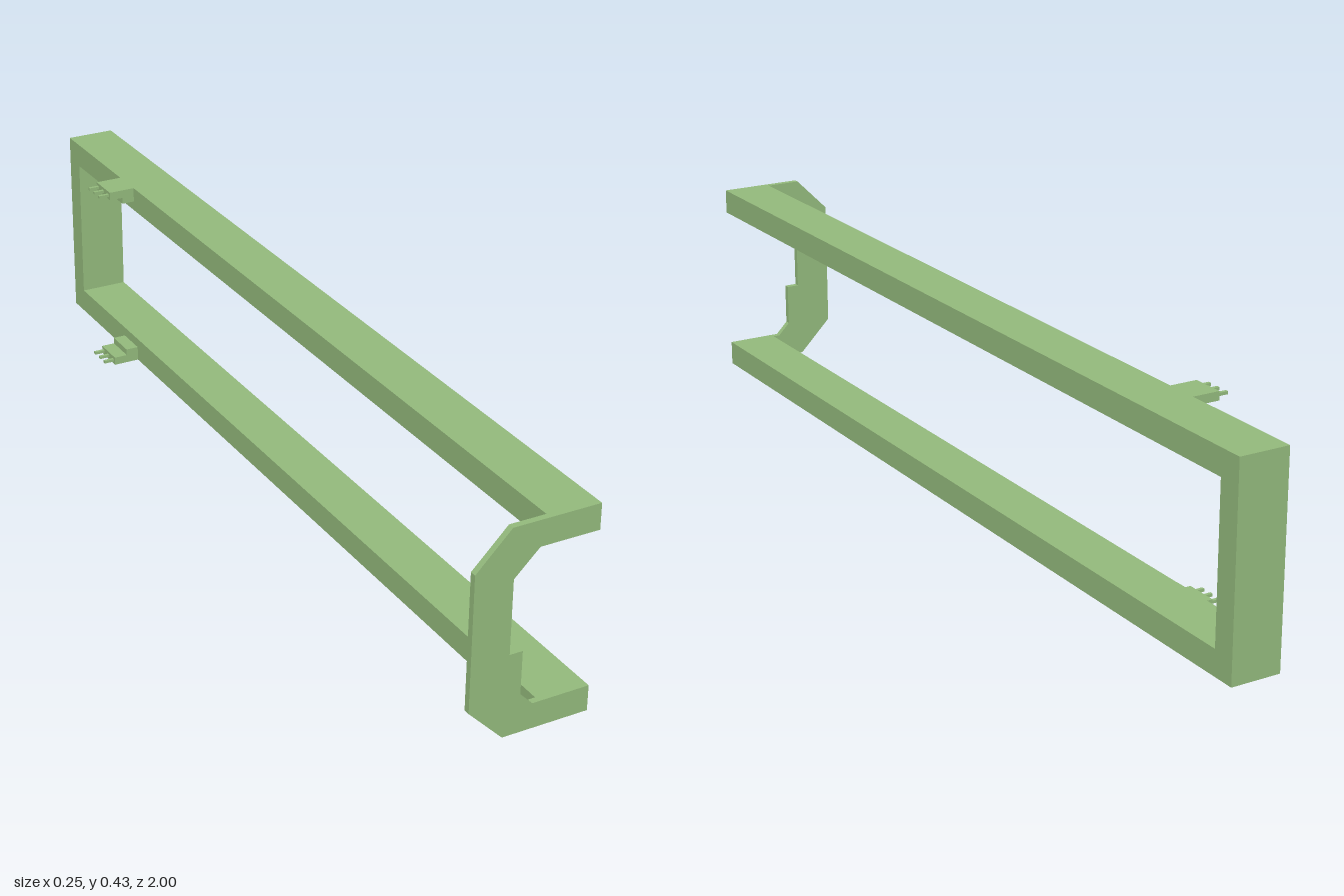
import * as THREE from 'three';

const HEIGHT = 0.425, BAR = 0.053, INNER = 0.02, OUTER = 0.125;

export function createModel() {
  const model = new THREE.Group();
  model.name = 'openFrame';
  const material = new THREE.MeshStandardMaterial({ color: 0x93b97c, flatShading: true });

  const add = (name, geometry, parent = model) => {
    const mesh = new THREE.Mesh(geometry, material);
    mesh.name = name;
    parent.add(mesh);
    return mesh;
  };
  const extrude = (points, depth) => new THREE.ExtrudeGeometry(
    new THREE.Shape(points.map(([x, y]) => new THREE.Vector2(x, y))),
    { depth, bevelEnabled: false });

  // Long U-shaped frame: two rails joined by a back post (drawn side-on, x = -z)
  const rails = extrude([
    [-1, 0], [1, 0], [1, HEIGHT], [-1, HEIGHT], [-1, HEIGHT - BAR],
    [0.95, HEIGHT - BAR], [0.95, BAR], [-1, BAR],
  ], OUTER - INNER);
  rails.rotateY(Math.PI / 2).translate(INNER, 0, 0);
  add('railFrame', rails);

  // Thin bracket joining the front ends of the rails
  const bracket = extrude([
    [INNER, 0], [INNER, BAR], [0.005, BAR], [-0.021, 0.08], [-0.021, 0.17],
    [-0.048, 0.17], [-0.048, 0.322], [0.003, HEIGHT - BAR], [INNER, HEIGHT - BAR],
    [INNER, HEIGHT], [-0.055, HEIGHT], [-0.127, 0.352], [-0.127, 0.073], [-0.055, 0],
  ], 0.013);
  bracket.translate(0, 0, 0.987);
  add('frontBracket', bracket);

  // Stepped connector blocks with three pins, mirrored between the two rails
  for (const upper of [false, true]) {
    const connector = new THREE.Group();
    connector.name = upper ? 'upperConnector' : 'lowerConnector';
    const flip = (y) => (upper ? HEIGHT - y : y);
    const body = extrude([
      [INNER, 0], [INNER, 0.032], [-0.008, 0.032], [-0.008, 0.018], [-0.038, 0.018], [-0.038, 0],
    ].map(([x, y]) => [x, flip(y)]), 0.07);
    body.translate(0, 0, -0.72);
    add('connectorBody', body, connector);
    for (const z of [-0.711, -0.685, -0.659]) {
      const pin = add('connectorPin', new THREE.BoxGeometry(0.024, 0.006, 0.007), connector);
      pin.position.set(-0.049, flip(0.009), z);
    }
    model.add(connector);
  }
  return model;
}
